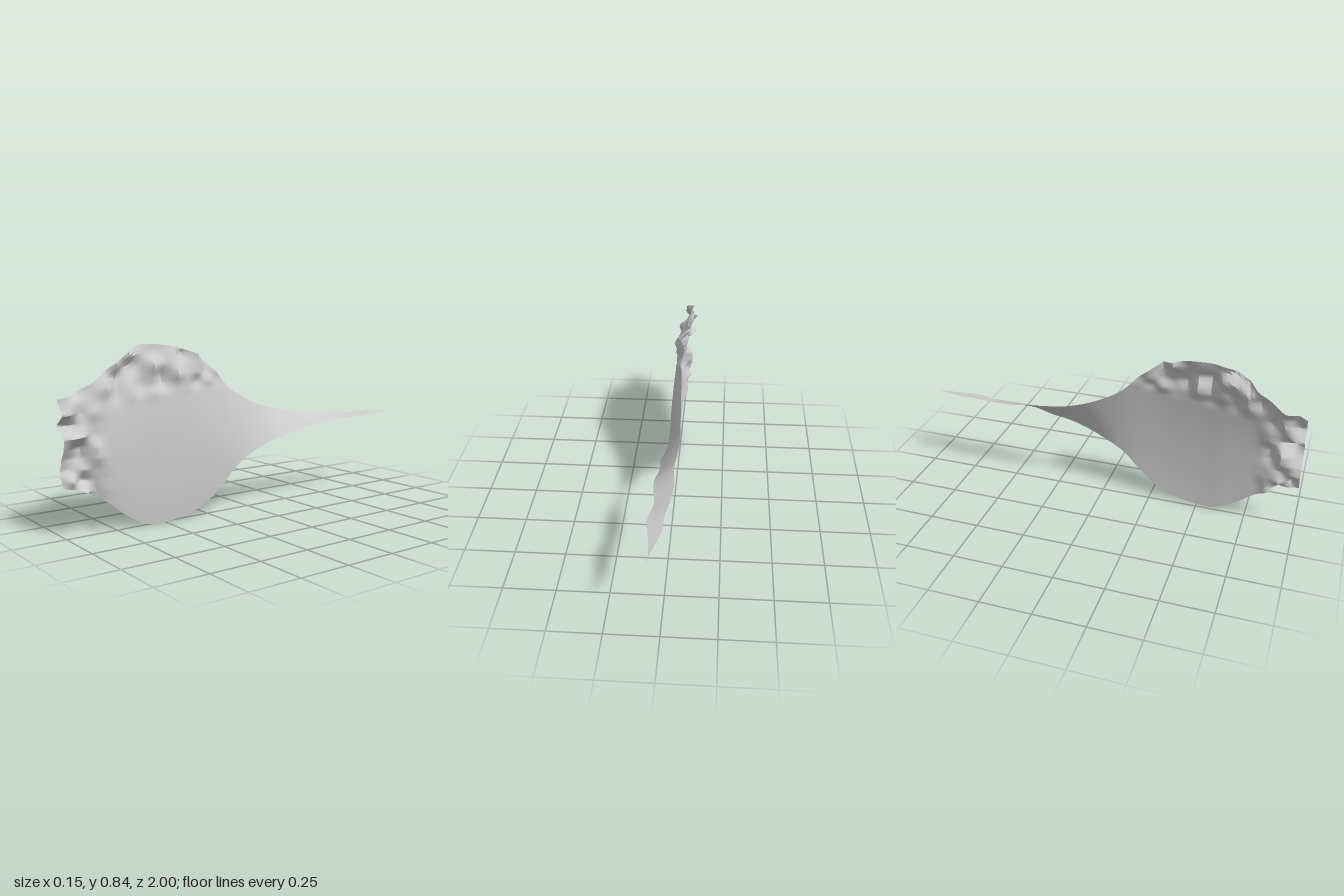
import * as THREE from 'three';
import { toCreasedNormals } from 'three/addons/utils/BufferGeometryUtils.js';

// Stations along the blade: z, half height, centre x, sideways half width (twist)
const STATIONS = [
  [-1, 0.0005, 0.05, 0.0005], [-0.95, 0.001, 0.045, 0.003], [-0.9, 0.003, 0.04, 0.013],
  [-0.8, 0.006, 0.033, 0.032], [-0.73, 0.008, 0.038, 0.037], [-0.6, 0.014, 0.018, 0.038],
  [-0.5, 0.021, 0.018, 0.047], [-0.4, 0.03, 0.025, 0.046], [-0.3, 0.045, 0.013, 0.042],
  [-0.2, 0.065, 0.01, 0.049], [-0.1, 0.092, 0.008, 0.042], [0, 0.135, 0.005, 0.037],
  [0.1, 0.195, 0.005, 0.034], [0.2, 0.295, 0.005, 0.03], [0.3, 0.37, 0.005, 0.026],
  [0.4, 0.405, 0.005, 0.025], [0.53, 0.422, 0.003, 0.025], [0.6, 0.415, 0, 0.025],
  [0.7, 0.36, 0, 0.025], [0.8, 0.28, 0, 0.022], [0.9, 0.222, 0, 0.018], [1, 0.195, 0, 0.015],
];
const profile = new THREE.CubicInterpolant(
  STATIONS.map(s => s[0]), STATIONS.flatMap(s => s.slice(1)), 3);
const { smoothstep, lerp, clamp } = THREE.MathUtils;

// Repeatable noise in -1..1 on a lattice, blended linearly into ridges
const lattice = (i, j) => {
  const s = Math.sin(i * 127.1 + j * 311.7 + 4.2) * 43758.5453;
  return 2 * (s - Math.floor(s)) - 1;
};
function ridges(u, v) {
  const i = Math.floor(u), j = Math.floor(v), a = u - i, b = v - j;
  return lerp(
    lerp(lattice(i, j), lattice(i + 1, j), a),
    lerp(lattice(i, j + 1), lattice(i + 1, j + 1), a), b);
}

// Point of the thin blade; t runs from the lower edge (-1) to the upper edge (1)
function bladePoint(z, t) {
  const [half, cx, hx] = profile.evaluate(z);
  const y = 0.4225 + t * half;
  const body = smoothstep(z, -0.1, 0.35);
  let x = cx - hx * t + body * (0.022 - 0.03 * t * t - 0.045 * (z - 0.45));

  // Crumpled frill along the front edge and the upper rim
  const front = smoothstep(z, 0.76, 0.95);
  const rim = smoothstep(y, 0.64 - 0.12 * z, 0.74 - 0.12 * z) * smoothstep(z, 0.05, 0.25);
  x += Math.max(front, rim * 0.75) * (0.055 * ridges(z / 0.06, y / 0.05) - 0.008);
  return [clamp(x, -0.075, 0.075), Math.max(y, 0), z];
}

export function createModel() {
  const group = new THREE.Group();
  group.name = 'frilledBlade';

  const geometry = new THREE.PlaneGeometry(2, 2, 100, 48);
  const pos = geometry.attributes.position;
  for (let k = 0; k < pos.count; k++) {
    pos.setXYZ(k, ...bladePoint(-pos.getX(k), pos.getY(k)));
  }

  const blade = new THREE.Mesh(
    toCreasedNormals(geometry, 0.9),
    new THREE.MeshStandardMaterial({ color: 0xcccccc, side: THREE.DoubleSide }));
  blade.name = 'blade';
  group.add(blade);
  return group;
}
